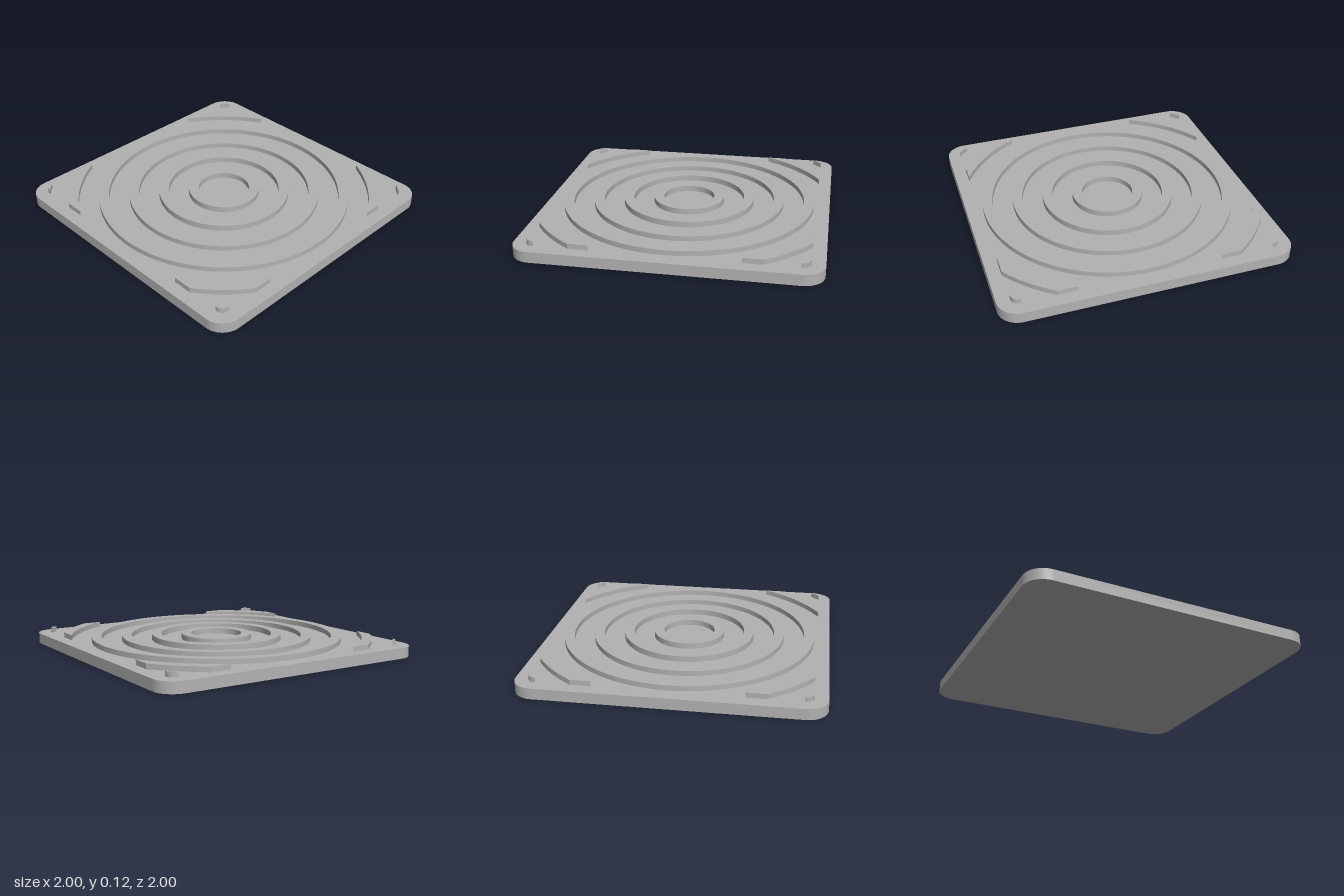
import * as THREE from 'three';
import { toCreasedNormals } from 'three/addons/utils/BufferGeometryUtils.js';

const PLATE_TOP = 0.075;
const LIMIT = 0.91; // half width of the raised pattern
const SINK = 0.01; // overlap of raised parts into the plate

// Upright extrusion of a plan shape, from height y0 to y1
function slab(shape, y0, y1, curveSegments) {
  const geometry = new THREE.ExtrudeGeometry(shape, { depth: y1 - y0, bevelEnabled: false, curveSegments });
  geometry.rotateX(-Math.PI / 2);
  geometry.translate(0, y0, 0);
  return toCreasedNormals(geometry, 0.5);
}

function roundedSquare(half, r) {
  const shape = new THREE.Shape();
  const c = half - r;
  [[1, 1], [-1, 1], [-1, -1], [1, -1]].forEach(([x, y], i) => {
    shape.absarc(x * c, y * c, r, i * Math.PI / 2, (i + 1) * Math.PI / 2, false);
  });
  shape.closePath();
  return shape;
}

function annulus(inner, outer) {
  const shape = new THREE.Shape();
  shape.absarc(0, 0, outer, 0, Math.PI * 2, false);
  const hole = new THREE.Path();
  hole.absarc(0, 0, inner, 0, Math.PI * 2, true);
  shape.holes.push(hole);
  return shape;
}

// Part of a large ring left inside the pattern's square limit
function cornerBar(inner, outer) {
  const a = Math.acos(LIMIT / inner), b = Math.acos(LIMIT / outer);
  const shape = new THREE.Shape();
  shape.absarc(0, 0, inner, a, Math.PI / 2 - a, false);
  shape.absarc(0, 0, outer, Math.PI / 2 - b, b, true);
  shape.closePath();
  return shape;
}

// Last ring, cut by the rounded corner of the limit
function cornerTip(inner, r) {
  const a = Math.acos(LIMIT / inner);
  const shape = new THREE.Shape();
  shape.absarc(0, 0, inner, a, Math.PI / 2 - a, false);
  shape.absarc(LIMIT - r, LIMIT - r, r, Math.PI / 2, 0, true);
  shape.closePath();
  return shape;
}

export function createModel() {
  const model = new THREE.Group();
  model.name = 'ringedTile';
  const grey = new THREE.MeshStandardMaterial({ color: 0xb2b2b2 });
  grey.name = 'grey';

  const add = (name, geometry, turn = 0) => {
    const mesh = new THREE.Mesh(geometry, grey);
    mesh.name = name;
    mesh.rotation.y = turn;
    model.add(mesh);
  };

  // Base plate
  add('basePlate', slab(roundedSquare(1, 0.14), 0, PLATE_TOP, 16));

  // Concentric raised rings, the inner two slightly taller
  const radius = (i) => 0.18 + i * 0.2133;
  const width = 0.07;
  for (let i = 0; i < 4; i++) {
    const top = i < 2 ? 0.115 : 0.11;
    add('ring' + (i + 1), slab(annulus(radius(i), radius(i) + width), PLATE_TOP - SINK, top, 96));
  }

  // Corner remnants of the two largest rings
  const bar = slab(cornerBar(radius(4), radius(4) + width), PLATE_TOP - SINK, 0.11, 20);
  const tip = slab(cornerTip(radius(5), 0.05), PLATE_TOP - SINK, 0.11, 10);
  for (let i = 0; i < 4; i++) {
    add('cornerBar' + (i + 1), bar, i * Math.PI / 2);
    add('cornerTip' + (i + 1), tip, i * Math.PI / 2);
  }
  return model;
}
